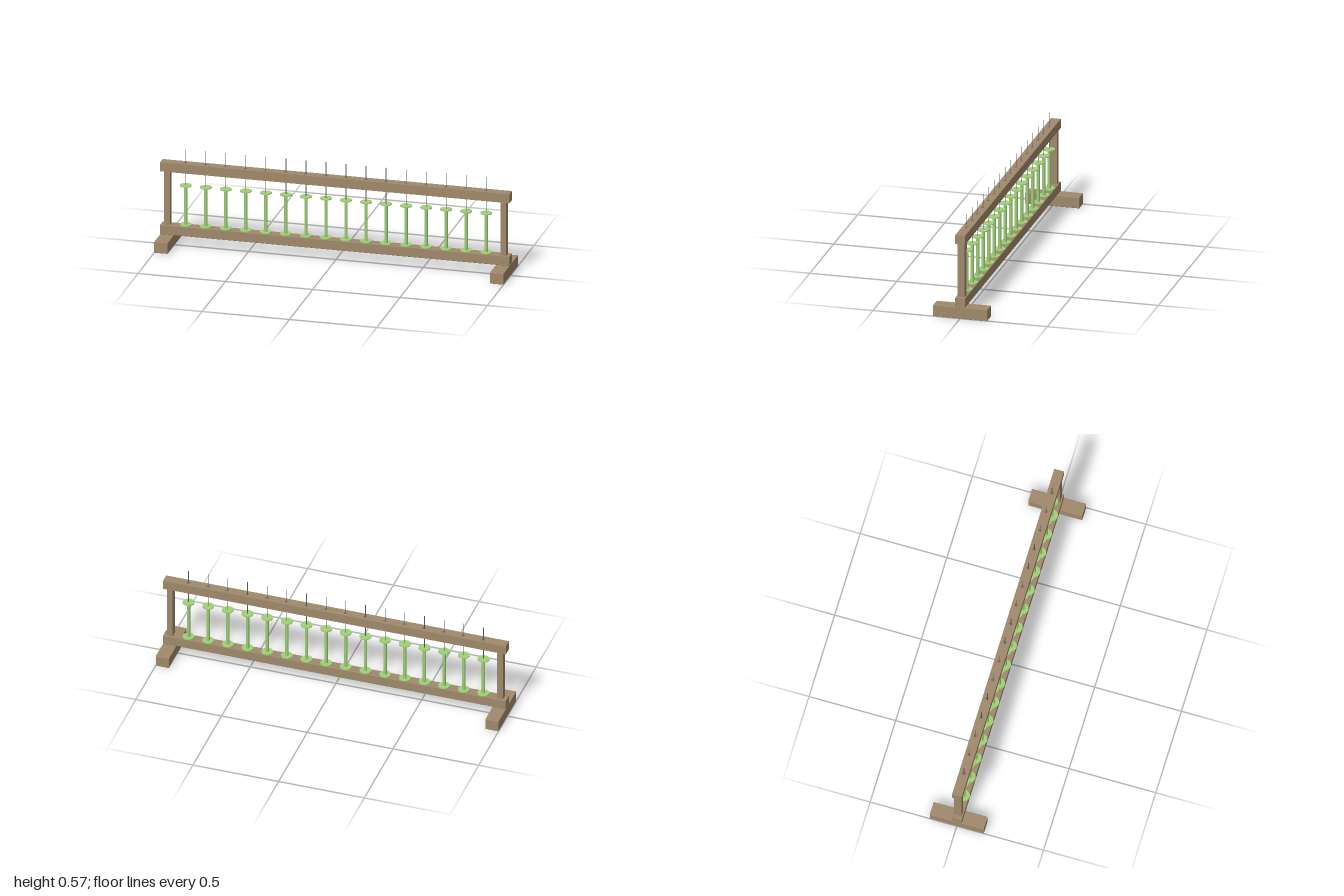
import * as THREE from 'three';
import { RoundedBoxGeometry } from 'three/addons/geometries/RoundedBoxGeometry.js';

export function createModel() {
  const model = new THREE.Group();
  model.name = 'spoolRack';

  const material = (name, color) => {
    const m = new THREE.MeshStandardMaterial({ color });
    m.name = name;
    return m;
  };
  const wood = material('wood', 0xa08a6c);
  const green = material('spoolGreen', 0x9fd077);
  const metal = material('rodMetal', 0x66665f);

  const add = (parent, name, geometry, mat, x, y, z = 0) => {
    const mesh = new THREE.Mesh(geometry, mat);
    mesh.name = name;
    mesh.position.set(x, y, z);
    parent.add(mesh);
    return mesh;
  };
  const beam = (w, h, d) => new RoundedBoxGeometry(w, h, d, 1, 0.003);

  const count = 16;
  const spoolX = (i) => -0.86 + (i * 1.72) / (count - 1);

  // Bottom rail, with a foot and a post at each end
  add(model, 'bottomRail', beam(2, 0.056, 0.058), wood, 0, 0.093);
  for (const [side, s] of [['left', 1], ['right', -1]]) {
    add(model, side + 'Foot', beam(0.078, 0.065, 0.312), wood, s * 0.961, 0.0325);
    add(model, side + 'Post', new THREE.BoxGeometry(0.034, 0.32, 0.042), wood, s * 0.963, 0.278);
  }

  // Top rail, drilled so that each rod passes through
  const outline = new THREE.Shape();
  outline.moveTo(-1, -0.028).lineTo(1, -0.028).lineTo(1, 0.028).lineTo(-1, 0.028).closePath();
  for (let i = 0; i < count; i++) {
    outline.holes.push(new THREE.Path().absarc(spoolX(i), 0, 0.01, 0, Math.PI * 2, true));
  }
  const railGeometry = new THREE.ExtrudeGeometry(outline, {
    depth: 0.053, bevelEnabled: false, curveSegments: 12,
  });
  railGeometry.rotateX(-Math.PI / 2);
  add(model, 'topRail', railGeometry, wood, 0, 0.435);

  // Spools: a core between two flanges, on a thin rod
  const core = new THREE.CylinderGeometry(0.0095, 0.0095, 0.228, 16);
  const flange = new THREE.CylinderGeometry(0.033, 0.033, 0.005, 24);
  const rod = new THREE.CylinderGeometry(0.002, 0.002, 0.457, 8);
  for (let i = 0; i < count; i++) {
    const spool = new THREE.Group();
    spool.name = 'spool' + (i + 1);
    spool.position.x = spoolX(i);
    add(spool, 'core', core, green, 0, 0.24);
    add(spool, 'lowerFlange', flange, green, 0, 0.1255);
    add(spool, 'upperFlange', flange, green, 0, 0.3555);
    add(spool, 'rod', rod, metal, 0, 0.3385);
    model.add(spool);
  }
  return model;
}
